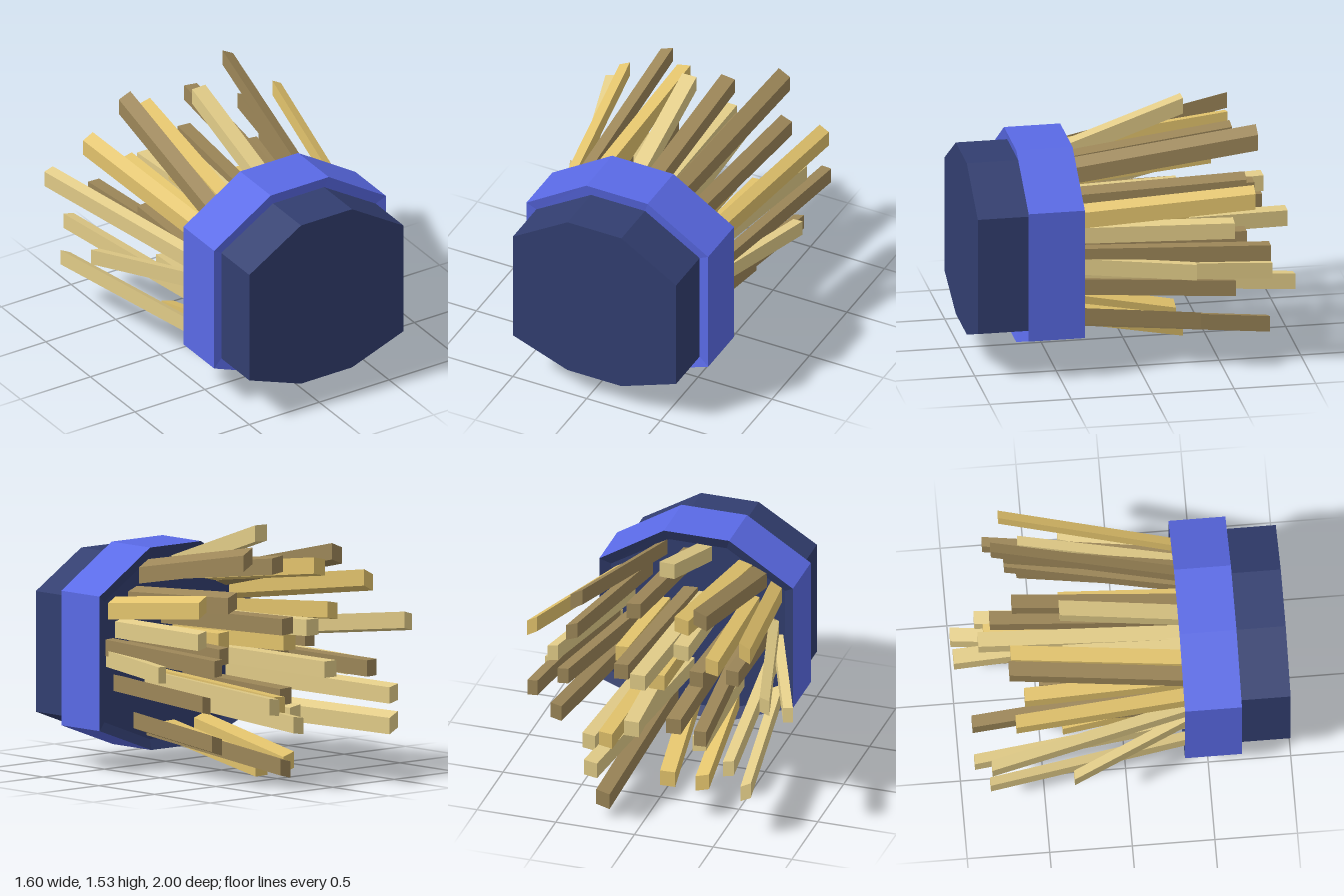
import * as THREE from 'three';

// Eight-sided outlines (x, y), counter-clockwise seen from +z
const INNER = [[-0.5, 0.305], [-0.13, 0.167], [0.235, 0.167], [0.605, 0.305], [0.605, 1.04], [0.235, 1.27], [-0.13, 1.27], [-0.5, 1.04]];
const OUTER = [[-0.56, 0.26], [-0.155, 0.105], [0.25, 0.105], [0.67, 0.26], [0.67, 1.08], [0.26, 1.34], [-0.155, 1.34], [-0.56, 1.08]];
const ROOT_Z = 0.355;
const PLATE_Z = 0.385;

// Each bristle: root x, root y, tip x, tip y, tip z
const PALE = [
  [-0.44, 0.79, -0.77, 0.92, -0.83], [-0.46, 0.33, -0.65, 0.31, -0.83],
  [-0.42, 0.53, -0.57, 0.505, -0.92], [-0.47, 0.68, -0.755, 0.6, -0.33],
  [-0.2, 0.38, -0.22, 0.36, -0.42], [-0.08, 0.9, -0.08, 0.92, -0.345],
  [0.09, 0.73, 0.02, 0.72, -1], [0, 0.9, 0.03, 0.96, -0.85],
  [0.01, 1.23, 0.005, 1.48, -0.36], [0.12, 0.44, 0.28, 0.4, -1],
  [0.24, 0.54, 0.34, 0.5, -0.85], [0.49, 0.87, 0.665, 0.905, -0.56],
  [0.57, 0.69, 0.765, 0.68, -0.31],
];
const GOLD = [
  [-0.45, 1.03, -0.59, 1.17, -0.67], [-0.3, 0.93, -0.36, 1, -0.6],
  [-0.25, 1.15, -0.19, 1.29, -0.67], [0, 0.81, -0.01, 0.84, -0.6],
  [0.2, 0.55, 0.25, 0.5, -0.8], [0.27, 0.82, 0.295, 0.85, -0.345],
  [0.55, 1, 0.76, 1.13, -0.67], [0.08, 0.21, 0, 0.05, -0.36],
  [-0.17, 0.22, -0.22, 0.06, -0.36],
];
const BROWN = [
  [-0.28, 0.7, -0.39, 0.68, -0.92], [-0.345, 1.12, -0.315, 1.36, -0.69],
  [-0.405, 0.79, -0.405, 0.8, -0.345], [-0.08, 0.51, -0.08, 0.49, -0.49],
  [0.1, 0.92, 0.16, 0.97, -0.77], [0.1, 1.19, 0.125, 1.325, -0.64],
  [0.22, 0.23, 0.25, 0.12, -0.85], [0.29, 1.2, 0.455, 1.4, -0.74],
  [0.38, 1.05, 0.51, 1.13, -0.66], [0.38, 0.79, 0.57, 0.81, -0.65],
  [0.57, 0.76, 0.725, 0.765, -0.77], [0.5, 0.53, 0.64, 0.51, -0.57],
  [0.33, 0.28, 0.4, 0.225, -0.4], [-0.2, 0.74, -0.18, 0.76, -0.355],
];

function material(color) {
  return new THREE.MeshStandardMaterial({ color, flatShading: true });
}

// Joins successive [outline, z] loops with flat quads
function loft(loops) {
  const pos = [];
  for (let k = 0; k < loops.length - 1; k++) {
    const [a, za] = loops[k], [b, zb] = loops[k + 1];
    for (let i = 0; i < a.length; i++) {
      const j = (i + 1) % a.length;
      const a0 = [...a[i], za], a1 = [...a[j], za], b0 = [...b[i], zb], b1 = [...b[j], zb];
      pos.push(...a0, ...a1, ...b1, ...a0, ...b1, ...b0);
    }
  }
  const g = new THREE.BufferGeometry();
  g.setAttribute('position', new THREE.Float32BufferAttribute(pos, 3));
  g.computeVertexNormals();
  return g;
}

// Leaning bar with ends square to z; its section is skewed to follow the lean
function bristle([x0, y0, x1, y1, z1], mat) {
  const w = 0.096 - 0.045 * Math.abs(x1);
  const skew = -(x1 - 0.02) * (y1 - 0.72) * 1.9;
  const g = new THREE.BoxGeometry(w, 0.1, 1);
  const p = g.attributes.position;
  for (let i = 0; i < p.count; i++) {
    const z = p.getZ(i) > 0 ? PLATE_Z + 0.02 : z1;
    const t = (ROOT_Z - z) / (ROOT_Z - z1);
    const dx = p.getX(i);
    p.setXYZ(i, x0 + (x1 - x0) * t + dx, y0 + (y1 - y0) * t + p.getY(i) + skew * dx, z);
  }
  g.computeVertexNormals();
  const mesh = new THREE.Mesh(g, mat);
  mesh.name = 'bristle';
  return mesh;
}

export function createModel() {
  const model = new THREE.Group();
  model.name = 'bristleBrush';
  const navy = material(0x323e70);

  // Dark core: shows as the front cap and as the plate behind the bristles
  const shape = new THREE.Shape(INNER.map(([x, y]) => new THREE.Vector2(x, y)));
  const capGeometry = new THREE.ExtrudeGeometry(shape, { depth: 1 - PLATE_Z, bevelEnabled: false });
  capGeometry.translate(0, 0, PLATE_Z);
  const cap = new THREE.Mesh(capGeometry, navy);
  cap.name = 'cap';

  // Collar with a shallow inward slope at the front
  const collar = new THREE.Mesh(loft([[OUTER, ROOT_Z], [OUTER, 0.7], [INNER, 0.685]]), material(0x5a6ae6));
  collar.name = 'collar';

  // Dark rim around the bristle plate
  const backRim = new THREE.Mesh(loft([[INNER, PLATE_Z], [OUTER, ROOT_Z]]), navy);
  backRim.name = 'backRim';
  model.add(cap, collar, backRim);

  // Bristles in three shades
  const bundles = { paleBristles: [PALE, 0xe2cc88], goldBristles: [GOLD, 0xe2c36c], brownBristles: [BROWN, 0x9c8658] };
  for (const [name, [rows, color]] of Object.entries(bundles)) {
    const bundle = new THREE.Group();
    bundle.name = name;
    const mat = material(color);
    for (const row of rows) bundle.add(bristle(row, mat));
    model.add(bundle);
  }
  return model;
}
